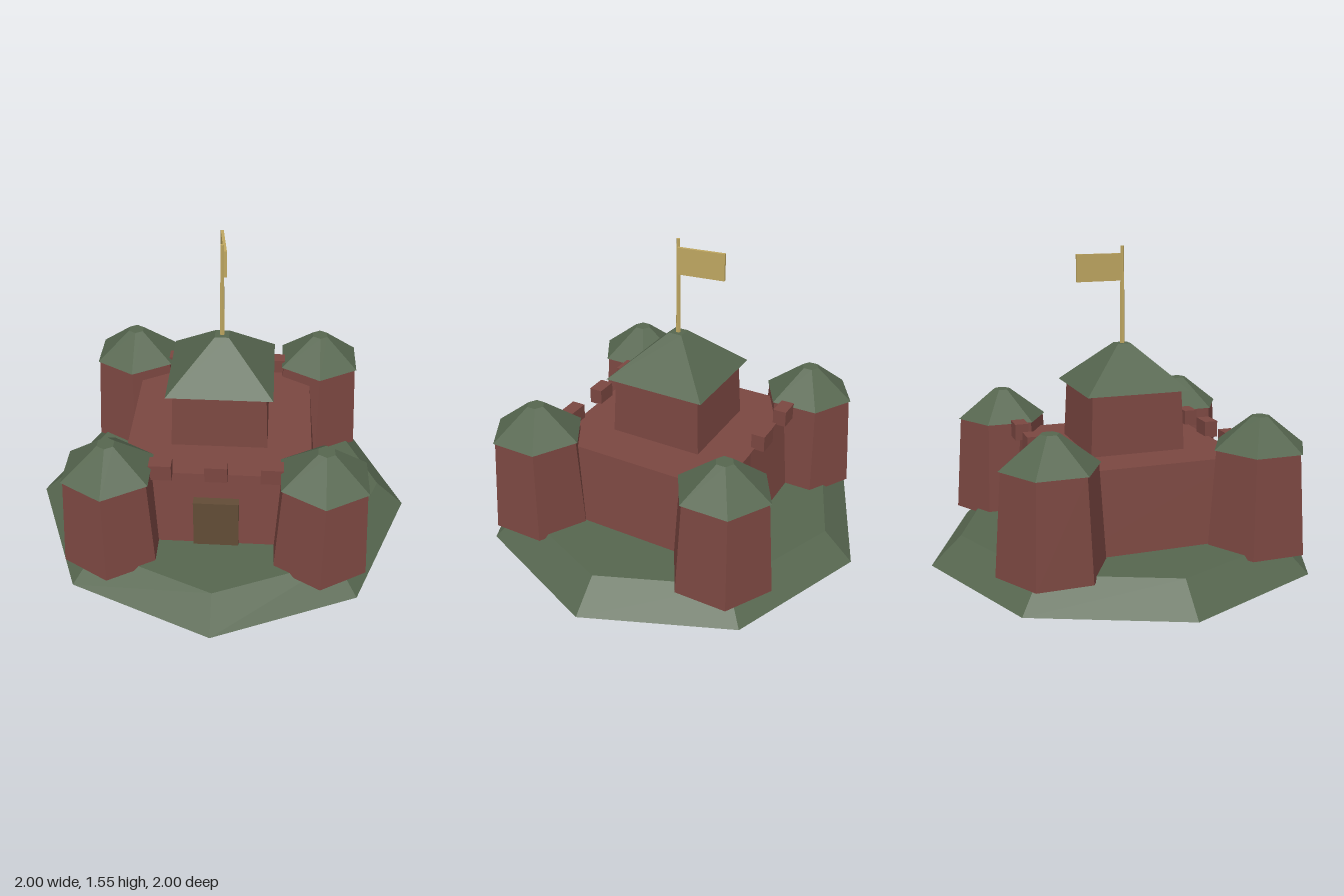
import * as THREE from 'three';

const mat = (name, color) => {
  const m = new THREE.MeshStandardMaterial({ color, flatShading: true });
  m.name = name;
  return m;
};

export function createModel() {
  const green = mat('mossGreen', 0x56664f);
  const red = mat('brickRed', 0x7b4741);
  const brown = mat('doorBrown', 0x624c36);
  const gold = mat('flagGold', 0xbfa761);
  const model = new THREE.Group();
  model.name = 'castle';

  const add = (parent, name, geometry, material, x = 0, y = 0, z = 0) => {
    const mesh = new THREE.Mesh(geometry, material);
    mesh.name = name;
    mesh.position.set(x, y, z);
    parent.add(mesh);
    return mesh;
  };

  // Tapered prism standing between two heights
  const prism = (parent, name, material, rBottom, rTop, y0, y1, sides) => add(parent, name,
    new THREE.CylinderGeometry(rTop, rBottom, y1 - y0, sides), material, 0, (y0 + y1) / 2, 0);

  // Square tapered block given by its half widths
  const block = (name, material, halfBottom, halfTop, y0, y1) => {
    const mesh = prism(model, name, material, halfBottom * Math.SQRT2, halfTop * Math.SQRT2, y0, y1, 4);
    mesh.rotation.y = Math.PI / 4;
    return mesh;
  };

  // Eight-sided mound
  prism(model, 'mound', green, 1, 0.85, 0, 0.14, 8);

  // Main hall, keep and keep roof
  block('hall', red, 0.51, 0.465, 0.12, 0.55);
  block('keep', red, 0.243, 0.23, 0.54, 0.855);
  block('keepRoof', green, 0.264, 0.035, 0.85, 1.065);

  // Four hexagonal corner towers with roofs
  for (const x of [-0.517, 0.517]) {
    for (const z of [-0.52, 0.52]) {
      const tower = new THREE.Group();
      tower.name = 'cornerTower';
      tower.position.set(x, 0, z);
      prism(tower, 'towerWall', red, 0.262, 0.228, 0.12, 0.612, 6);
      prism(tower, 'towerRoof', green, 0.238, 0.045, 0.61, 0.762, 6);
      model.add(tower);
    }
  }

  // Battlements on the front and back walls
  for (const z of [-0.479, 0.479]) {
    for (const x of [-0.27, 0, 0.27]) {
      add(model, 'merlon', new THREE.BoxGeometry(0.11, 0.085, 0.07), red, x, 0.585, z);
    }
  }

  // Door
  add(model, 'door', new THREE.BoxGeometry(0.225, 0.28, 0.05), brown, 0, 0.272, 0.5);

  // Flagpole and flag
  prism(model, 'flagpole', gold, 0.013, 0.009, 1.05, 1.55, 6);
  const flag = add(model, 'flag', new THREE.BoxGeometry(0.24, 0.135, 0.015), gold, 0, 1.445, -0.122);
  flag.rotation.y = THREE.MathUtils.degToRad(97);

  return model;
}
